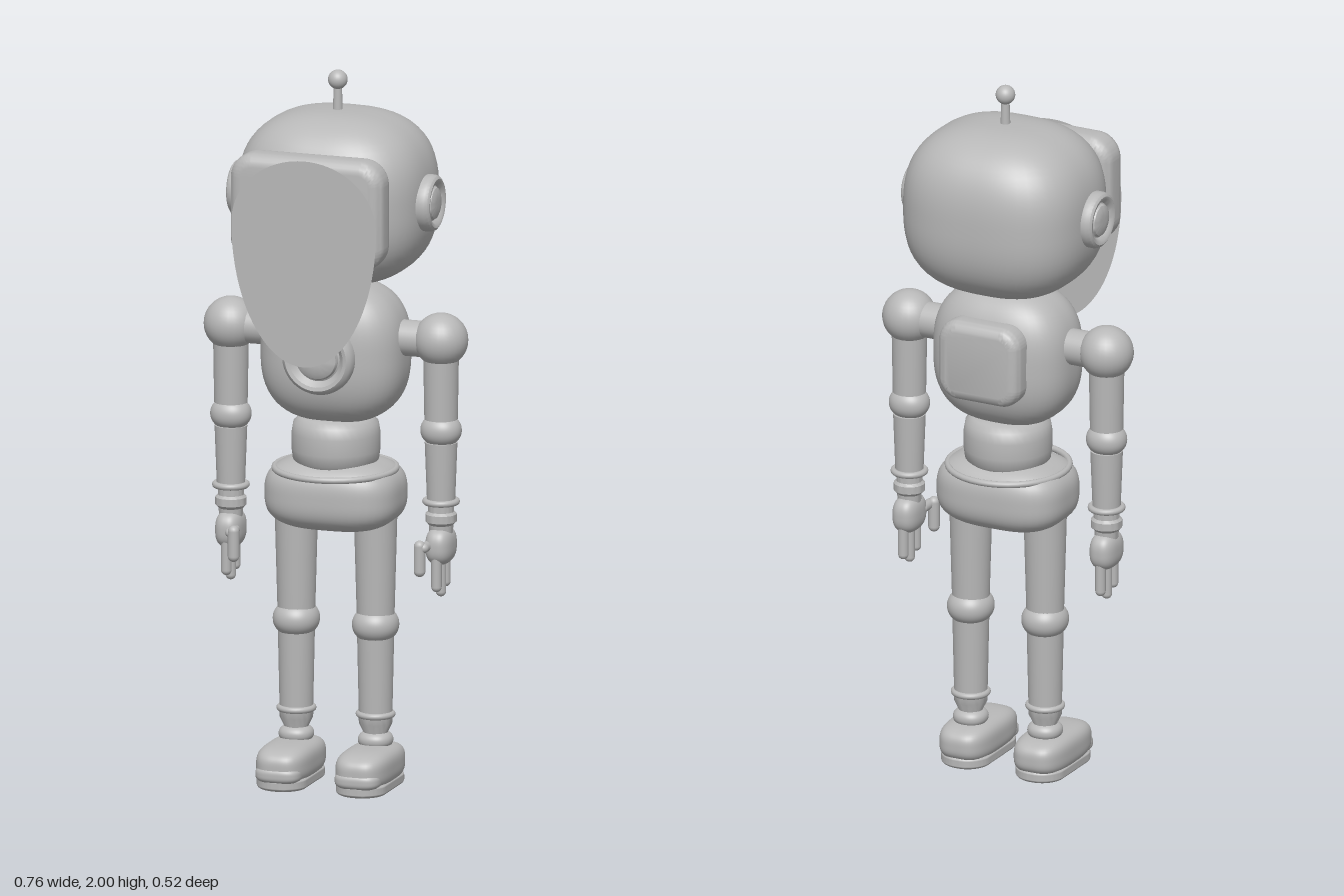
import * as THREE from 'three';
import { toCreasedNormals } from 'three/addons/utils/BufferGeometryUtils.js';

const grey = new THREE.MeshStandardMaterial({ color: 0xb8b8b8 });
grey.name = 'plain grey';
const greySheet = grey.clone(); // same grey, for the thin open sheet
greySheet.side = THREE.DoubleSide;

const AXIS_Z = -0.01; // depth of the limb axes

function add(parent, name, geometry, x = 0, y = 0, z = 0, material = grey) {
  const mesh = new THREE.Mesh(geometry, material);
  mesh.name = name;
  mesh.position.set(x, y, z);
  parent.add(mesh);
  return mesh;
}

// Rounded block: a sphere pushed out towards its box by the power n
function blob(rx, ry, rz, n) {
  const g = new THREE.SphereGeometry(1, 56, 40);
  const p = g.attributes.position, v = new THREE.Vector3(), m = new THREE.Vector3();
  const bend = (c) => Math.sign(c) * Math.pow(Math.abs(c), n - 1);
  for (let i = 0; i < p.count; i++) {
    v.fromBufferAttribute(p, i);
    const s = Math.pow(Math.abs(v.x) ** n + Math.abs(v.y) ** n + Math.abs(v.z) ** n, -1 / n);
    v.multiplyScalar(s);
    m.set(bend(v.x) / rx, bend(v.y) / ry, bend(v.z) / rz).normalize();
    p.setXYZ(i, v.x * rx, v.y * ry, v.z * rz);
    g.attributes.normal.setXYZ(i, m.x, m.y, m.z);
  }
  return g;
}

// Rounded pad facing z, centred on the origin
function pad(w, h, d, r, bevel) {
  const x = w / 2 - bevel, y = h / 2 - bevel, c = r - bevel;
  const s = new THREE.Shape();
  s.absarc(x - c, y - c, c, 0, Math.PI / 2);
  s.absarc(-x + c, y - c, c, Math.PI / 2, Math.PI);
  s.absarc(-x + c, -y + c, c, Math.PI, Math.PI * 1.5);
  s.absarc(x - c, -y + c, c, Math.PI * 1.5, Math.PI * 2);
  const g = new THREE.ExtrudeGeometry(s, {
    depth: d - 2 * bevel, bevelSize: bevel, bevelThickness: bevel, bevelSegments: 6, curveSegments: 10,
  });
  g.translate(0, 0, bevel - d / 2);
  return toCreasedNormals(g, 0.6);
}

// Turned part from [radius, height] points
function turned(points, crease = 0.6) {
  const g = new THREE.LatheGeometry(points.map(([r, y]) => new THREE.Vector2(r, y)), 36);
  return toCreasedNormals(g, crease);
}

const ball = (r) => new THREE.SphereGeometry(r, 28, 20);
const ring = (r, t) => new THREE.TorusGeometry(r, t, 12, 40).rotateX(Math.PI / 2);
const tube = (rTop, rBottom, h) => new THREE.CylinderGeometry(rTop, rBottom, h, 32);

// Stepped round dial, built along +y
function dial(r, h) {
  return turned([
    [r * 0.96, -h], [r, 0], [r, h * 0.5], [r * 0.95, h * 0.8], [r * 0.86, h * 0.95], [r * 0.76, h * 0.9],
    [r * 0.66, h * 0.65], [r * 0.62, h * 0.55], [r * 0.58, h * 0.6], [r * 0.54, h * 0.8], [r * 0.4, h * 0.95],
    [r * 0.2, h], [0, h],
  ]);
}

function makeHead() {
  const head = new THREE.Group();
  head.name = 'head';
  add(head, 'headShell', blob(0.268, 0.24, 0.234, 2.7), 0, 1.65, -0.029);
  add(head, 'facePlate', pad(0.444, 0.31, 0.1, 0.07, 0.035), 0, 1.655, 0.206);
  // Flat egg-shaped visor hanging below the plate
  const egg = new THREE.Shape();
  egg.absellipse(0, 0, 0.21, 0.185, 0, Math.PI);
  egg.absellipse(0, 0, 0.21, 0.395, Math.PI, Math.PI * 2);
  add(head, 'visor', new THREE.ShapeGeometry(egg, 40), 0, 1.62, 0.258, greySheet);
  // Antenna
  add(head, 'antennaStem', tube(0.011, 0.014, 0.1), 0, 1.92, -0.025);
  add(head, 'antennaBall', ball(0.027), 0, 1.973, -0.025);
  // Ear discs
  for (const side of [1, -1]) {
    const ear = add(head, side > 0 ? 'leftEar' : 'rightEar', dial(0.079, 0.032), side * 0.265, 1.65, AXIS_Z);
    ear.rotation.z = -side * Math.PI / 2;
  }
  return head;
}

function makeBody() {
  const body = new THREE.Group();
  body.name = 'body';
  add(body, 'torso', blob(0.205, 0.2, 0.147, 2.7), 0, 1.22, AXIS_Z);
  // Chest dial and back pack
  const chest = add(body, 'chestDial', dial(0.104, 0.05), 0, 1.225, 0.115);
  chest.rotation.x = Math.PI / 2;
  add(body, 'backPack', pad(0.25, 0.23, 0.09, 0.06, 0.03), 0, 1.235, -0.153);
  // Waist, pelvis and belt ring
  add(body, 'waist', turned([
    [0.1, 0.89], [0.118, 0.91], [0.122, 0.94], [0.122, 0.985], [0.117, 1.015], [0.1, 1.03], [0, 1.03],
  ], 1), 0, 0, AXIS_Z);
  add(body, 'pelvis', blob(0.191, 0.101, 0.143, 3), 0, 0.818, AXIS_Z);
  add(body, 'beltRing', ring(0.167, 0.009), 0, 0.886, AXIS_Z + 0.004);
  return body;
}

function makeArm(side) {
  const arm = new THREE.Group();
  arm.name = side > 0 ? 'leftArm' : 'rightArm';
  arm.position.set(side * 0.305, 0, AXIS_Z);
  const stub = add(arm, 'shoulderStub', tube(0.05, 0.05, 0.16), -side * 0.1, 1.265, 0);
  stub.rotation.z = Math.PI / 2;
  add(arm, 'shoulder', ball(0.075), 0, 1.267, 0);
  add(arm, 'upperArm', tube(0.049, 0.046, 0.18), 0, 1.135, 0);
  add(arm, 'elbow', blob(0.057, 0.046, 0.052, 2.1), 0, 1.013, 0);
  add(arm, 'forearm', tube(0.045, 0.039, 0.16), 0, 0.9, 0);
  add(arm, 'wristRing', ring(0.043, 0.009), 0, 0.813, 0);
  add(arm, 'wrist', turned([
    [0.036, 0.83], [0.036, 0.785], [0.043, 0.778], [0.043, 0.757], [0.034, 0.748], [0.032, 0.72],
  ].reverse()));
  // Hand with three fingers and a thumb
  add(arm, 'palm', blob(0.038, 0.053, 0.058, 2.6), 0, 0.69, 0);
  [[-0.036, 0.565], [0.001, 0.545], [0.038, 0.565]].forEach(([z, low]) => {
    const length = 0.68 - low;
    add(arm, 'finger', new THREE.CapsuleGeometry(0.0145, length - 0.029, 8, 16), 0, low + length / 2, z);
  });
  add(arm, 'thumb', new THREE.CapsuleGeometry(0.016, 0.07, 8, 16), -side * 0.035, 0.665, 0.078);
  const knuckle = add(arm, 'thumbRoot', new THREE.CapsuleGeometry(0.014, 0.04, 8, 16), -side * 0.024, 0.695, 0.055);
  knuckle.rotation.x = Math.PI / 2;
  return arm;
}

function makeLeg(side) {
  const leg = new THREE.Group();
  leg.name = side > 0 ? 'leftLeg' : 'rightLeg';
  leg.position.set(side * 0.115, 0, AXIS_Z);
  add(leg, 'thigh', tube(0.06, 0.052, 0.29), 0, 0.625, 0);
  add(leg, 'knee', blob(0.064, 0.052, 0.067, 2.1), 0, 0.452, 0);
  add(leg, 'shin', tube(0.051, 0.046, 0.23), 0, 0.31, 0);
  add(leg, 'ankleRing', ring(0.046, 0.009), 0, 0.2, 0);
  add(leg, 'ankle', turned([[0.034, 0.12], [0.034, 0.15], [0.046, 0.175], [0.047, 0.2]]));
  add(leg, 'ankleJoint', blob(0.048, 0.028, 0.048, 2.2), 0, 0.128, 0);
  // Foot: sole, shoe and toe cap
  const sole = add(leg, 'sole', pad(0.142, 0.275, 0.034, 0.068, 0.012), 0, 0.017, 0.046);
  sole.rotation.x = -Math.PI / 2;
  add(leg, 'shoe', blob(0.075, 0.054, 0.142, 3.2), 0, 0.065, 0.044);
  add(leg, 'toeCap', blob(0.065, 0.026, 0.055, 3), 0, 0.045, 0.135);
  return leg;
}

export function createModel() {
  const robot = new THREE.Group();
  robot.name = 'robot';
  robot.add(makeHead(), makeBody());
  for (const side of [1, -1]) robot.add(makeArm(side), makeLeg(side));
  return robot;
}
